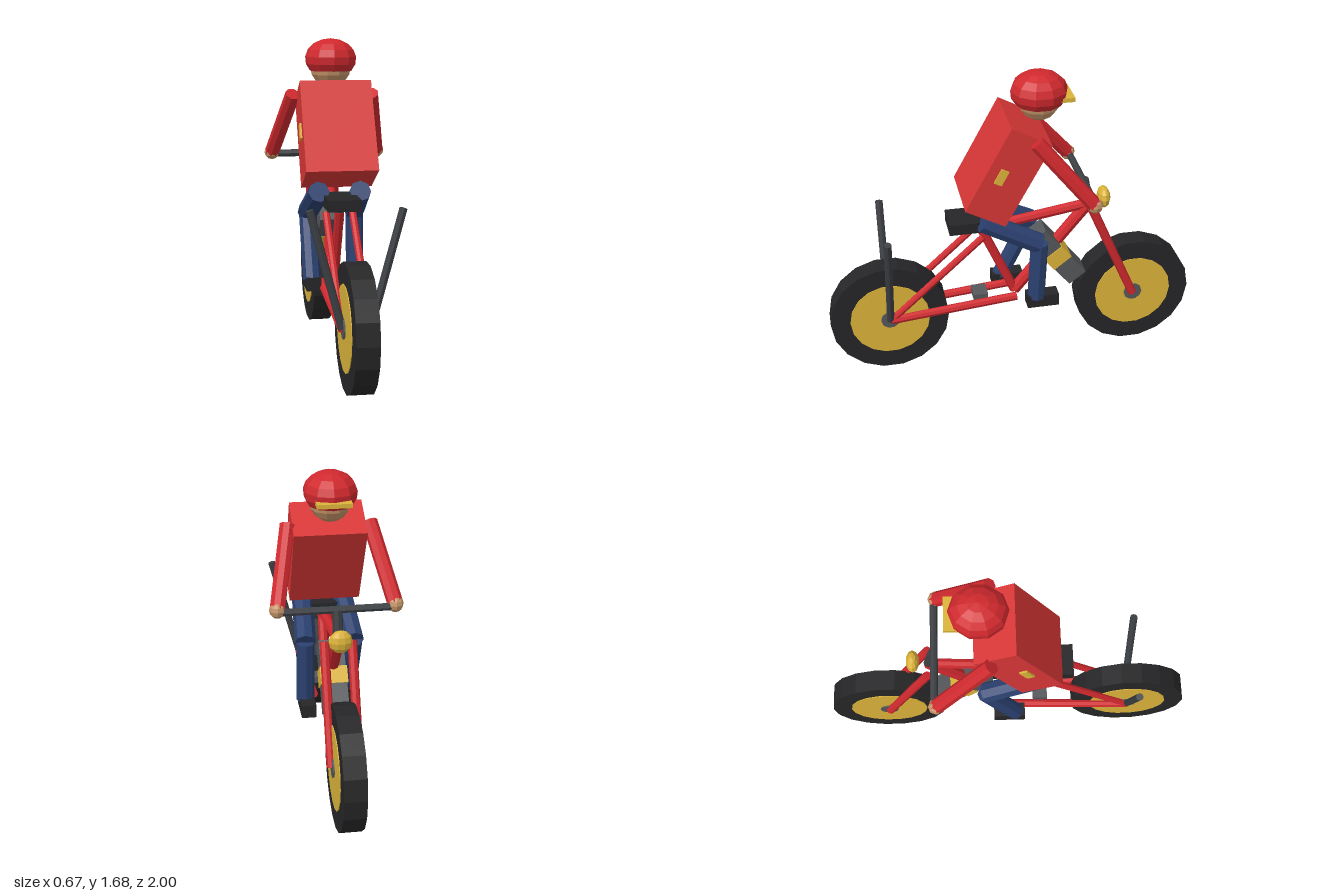
import * as THREE from 'three';

const mat = (color) => new THREE.MeshStandardMaterial({ color, flatShading: true, side: THREE.DoubleSide });
const V = (x, y, z) => new THREE.Vector3(x, y, z);

export function createModel() {
  const model = new THREE.Group();
  const red = mat(0xd0292e), yellow = mat(0xdcb43a), black = mat(0x262628), steel = mat(0x3d4044);
  const grey = mat(0x56585b), blue = mat(0x2b4170), skin = mat(0xc49468), jacket = mat(0xd93636);

  const add = (name, geometry, material, pos, parent = model) => {
    const mesh = new THREE.Mesh(geometry, material);
    mesh.name = name;
    mesh.position.copy(pos);
    parent.add(mesh);
    return mesh;
  };
  const box = (name, w, h, d, material, pos, parent) =>
    add(name, new THREE.BoxGeometry(w, h, d), material, pos, parent);
  // Straight rod between two points
  const rod = (name, a, b, r, material, sides = 8) => {
    const mesh = add(name, new THREE.CylinderGeometry(r, r, a.distanceTo(b), sides), material,
      a.clone().add(b).multiplyScalar(0.5));
    mesh.quaternion.setFromUnitVectors(V(0, 1, 0), b.clone().sub(a).normalize());
    return mesh;
  };
  // Disc on the wheel axle, with a flat facet at the bottom
  const disc = (name, r, width, sides, material, parent) => {
    const g = new THREE.CylinderGeometry(r, r, width, sides);
    g.rotateZ(Math.PI / 2);
    return add(name, g, material, V(0, 0, 0), parent);
  };

  // Wheels
  for (const [name, z] of [['frontWheel', -0.68], ['rearWheel', 0.68]]) {
    const wheel = new THREE.Group();
    wheel.name = name;
    wheel.position.set(0, 0.32, z);
    model.add(wheel);
    disc('tyre', 0.321, 0.114, 18, black, wheel);
    disc('wheelDisc', 0.216, 0.122, 18, yellow, wheel);
    disc('hub', 0.051, 0.138, 10, grey, wheel);
  }

  // Frame
  const head = V(0, 0.89, -0.42), seatJoint = V(0, 0.8, 0.165), crank = V(0, 0.385, -0.015);
  rod('topTube', seatJoint, head, 0.027, red);
  rod('seatTube', seatJoint, crank, 0.025, red);
  rod('downTube', head, crank, 0.033, red);
  for (const s of [1, -1]) {
    const x = 0.07 * s;
    rod('forkLeg', V(x, 0.89, -0.425), V(x, 0.32, -0.675), 0.024, red);
    rod('chainStay', V(x, 0.32, 0.675), V(x, 0.385, -0.015), 0.023, red);
    rod('seatStay', V(x, 0.32, 0.675), V(x, 0.79, 0.165), 0.019, red);
    rod('rearPole', V(x, 0.32, 0.68), V(0.225 * s, 0.9, 0.68), 0.02, steel);
  }

  // Saddle, steering and lamp
  rod('seatPost', seatJoint, V(0, 0.86, 0.19), 0.022, steel);
  box('saddle', 0.17, 0.06, 0.28, black, V(0, 0.856, 0.205));
  rod('stem', V(0, 0.89, -0.42), V(0, 1.04, -0.39), 0.026, steel);
  rod('handlebar', V(-0.29, 1.04, -0.382), V(0.29, 1.04, -0.382), 0.02, steel);
  add('headlamp', new THREE.SphereGeometry(0.06, 10, 6), yellow, V(0, 0.92, -0.502)).scale.z = 0.6;

  // Battery pack with its band, and the small block behind the crank
  const pack = new THREE.Group();
  pack.name = 'batteryPack';
  pack.position.set(0, 0.6, -0.243);
  pack.rotation.x = 0.67;
  model.add(pack);
  box('packBody', 0.13, 0.37, 0.115, grey, V(0, 0, 0), pack);
  box('packBand', 0.142, 0.09, 0.122, yellow, V(0, 0, 0), pack);
  box('rearBlock', 0.1, 0.035, 0.08, grey, V(0, 0.39, 0.18));

  // Torso with a side badge, leaning towards the bars
  const torso = new THREE.Group();
  torso.name = 'torso';
  torso.position.set(0, 1.19, 0.052);
  torso.rotation.x = -0.496;
  model.add(torso);
  box('jacket', 0.374, 0.505, 0.236, jacket, V(0, 0, 0), torso);
  box('sideBadge', 0.394, 0.085, 0.043, yellow, V(0, -0.004, 0.04), torso);

  // Head and helmet
  add('head', new THREE.SphereGeometry(0.11, 10, 8), skin, V(0, 1.53, -0.14));
  const helmet = add('helmet',
    new THREE.SphereGeometry(1, 10, 6, 0, Math.PI * 2, 0, Math.PI * 0.7), red, V(0, 1.572, -0.14));
  helmet.scale.set(0.135, 0.108, 0.148);
  helmet.rotation.y = Math.PI / 2;
  helmet.scale.set(0.148, 0.108, 0.138);
  box('visor', 0.176, 0.022, 0.12, yellow, V(0, 1.547, -0.247));

  // Arms and legs; the feet sit at different crank positions
  for (const s of [1, -1]) {
    const hand = V(0.295 * s, 1.05, -0.372);
    rod('arm', V(0.21 * s, 1.39, -0.085), hand, 0.04, red);
    add('hand', new THREE.SphereGeometry(0.042, 8, 6), skin, hand);
    const footZ = s > 0 ? -0.145 : 0.005;
    const knee = V(0.128 * s, 0.75, -0.125);
    rod('thigh', V(0.108 * s, 0.905, 0.175), knee, 0.056, blue);
    rod('shin', knee, V(0.128 * s, 0.41, s > 0 ? -0.11 : 0.04), 0.048, blue);
    box('foot', 0.078, 0.07, 0.172, black, V(0.123 * s, 0.395, footZ));
  }
  return model;
}
